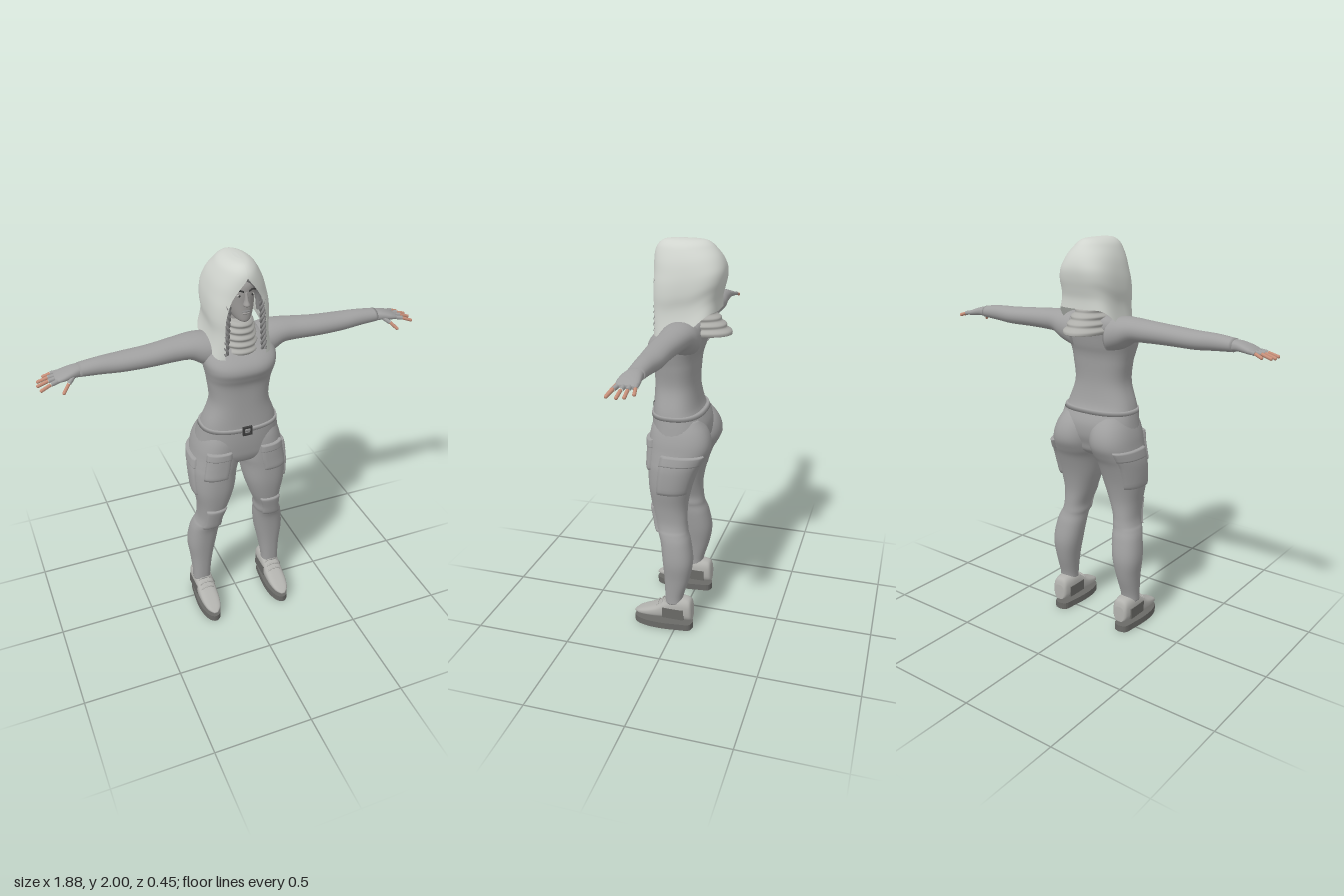
import * as THREE from 'three';

const mat = (name, color, side = THREE.FrontSide) => {
  const m = new THREE.MeshStandardMaterial({ color, side });
  m.name = name;
  return m;
};

// Catmull-Rom blend of cross-section rows
function smooth(rows, k = 5) {
  const out = [], n = rows.length - 1;
  for (let i = 0; i < n; i++) for (let s = 0; s < k; s++) {
    const t = s / k, a = rows[Math.max(i - 1, 0)], b = rows[i], c = rows[i + 1], d = rows[Math.min(i + 2, n)];
    out.push(b.map((_, j) => 0.5 * (2 * b[j] + (c[j] - a[j]) * t + (2 * a[j] - 5 * b[j] + 4 * c[j] - d[j]) * t * t
      + (3 * b[j] - a[j] - 3 * c[j] + d[j]) * t * t * t)));
  }
  out.push(rows[n]);
  return out;
}

// Point on a superellipse section: row = [position on axis, uLow, uHigh, vLow, vHigh]
const bend = (v, e) => Math.sign(v) * Math.abs(v) ** (2 / e);
function sectionPoint(r, a, axis, e, grow = 0) {
  const s = axis === 'y' ? 1 : -1;
  const u = (r[1] + r[2]) / 2 + ((r[2] - r[1]) / 2 + grow) * bend(Math.cos(a), e);
  const v = (r[3] + r[4]) / 2 + s * ((r[4] - r[3]) / 2 + grow) * bend(Math.sin(a), e);
  if (axis === 'y') return new THREE.Vector3(u, r[0], v);
  if (axis === 'x') return new THREE.Vector3(r[0], u, v);
  return new THREE.Vector3(u, v, r[0]);
}

// Skin a list of rings; closed rings get end caps
function skin(rings, closed = true) {
  const n = rings[0].length, m = rings.length, pts = rings.flat(), idx = [];
  for (let j = 0; j < m - 1; j++) for (let i = 0; i < (closed ? n : n - 1); i++) {
    const a = j * n + i, b = j * n + (i + 1) % n;
    idx.push(a, a + n, b, b, a + n, b + n);
  }
  if (closed) [0, m - 1].forEach((j) => {
    const c = rings[j].reduce((s, p) => s.add(p), new THREE.Vector3()).divideScalar(n);
    pts.push(c);
    for (let i = 0; i < n; i++) {
      const a = j * n + i, b = j * n + (i + 1) % n;
      idx.push(pts.length - 1, ...(j ? [b, a] : [a, b]));
    }
  });
  const g = new THREE.BufferGeometry().setFromPoints(pts);
  g.setIndex(idx);
  g.computeVertexNormals();
  return g;
}

const loft = (rows, axis = 'y', e = 2.2, n = 36, k = 5) => skin(smooth(rows, k).map((r) =>
  Array.from({ length: n }, (_, i) => sectionPoint(r, (i / n) * Math.PI * 2, axis, e))));

function mirrored(geo) {
  const g = geo.clone().scale(-1, 1, 1);
  const ix = g.index ? Array.from(g.index.array) : Array.from({ length: g.attributes.position.count }, (_, i) => i);
  for (let i = 0; i < ix.length; i += 3) [ix[i], ix[i + 1]] = [ix[i + 1], ix[i]];
  g.setIndex(ix);
  return g;
}

const tube = (pts, r, seg = 16) =>
  new THREE.TubeGeometry(new THREE.CatmullRomCurve3(pts.map((p) => new THREE.Vector3(...p))), seg, r, 8);
const ball = (x, y, z, rx, ry, rz) => new THREE.SphereGeometry(1, 16, 10).scale(rx, ry, rz).translate(x, y, z);

export function createModel() {
  const root = new THREE.Group();
  const cloth = mat('cloth grey', 0xa0a0a0);
  const hoodMat = mat('hood pale grey', 0xd0d4ce, THREE.DoubleSide);
  const scarfMat = mat('scarf grey', 0xaeaeaa);
  const faceMat = mat('face grey', 0x9c9a98);
  const hairMat = mat('hair grey', 0x868686);
  const skinMat = mat('fingertip skin', 0xc8907a);
  const shoeMat = mat('shoe grey', 0xb2b2ae);
  const soleMat = mat('sole dark grey', 0x6a6a67);
  const dark = mat('dark trim', 0x3c3c3c);
  const add = (name, g, m) => {
    const o = new THREE.Mesh(g, m);
    o.name = name;
    root.add(o);
  };
  const pair = (name, g, m) => {
    add('left ' + name, g, m);
    add('right ' + name, mirrored(g), m);
  };

  // Torso and pelvis: [y, half width, back, front]
  const sym = (rows) => rows.map(([y, w, b, f]) => [y, -w, w, b, f]);
  add('torso', loft(sym([[1.15, 0.194, -0.1, 0.157], [1.2, 0.18, -0.075, 0.153], [1.3, 0.146, -0.06, 0.15],
    [1.4, 0.154, -0.065, 0.153], [1.45, 0.163, -0.072, 0.17], [1.49, 0.172, -0.085, 0.183], [1.53, 0.178, -0.095, 0.168],
    [1.58, 0.17, -0.105, 0.115], [1.62, 0.14, -0.1, 0.075], [1.65, 0.08, -0.08, 0.04]]), 'y', 2.5, 44), cloth);
  add('pelvis', loft(sym([[0.93, 0.05, -0.05, 0.06], [0.96, 0.14, -0.09, 0.125], [1, 0.215, -0.105, 0.148],
    [1.05, 0.216, -0.122, 0.156], [1.11, 0.207, -0.122, 0.16], [1.17, 0.196, -0.098, 0.16]]), 'y', 2.4, 44), cloth);
  add('belt', loft(sym([[1.157, 0.199, -0.104, 0.163], [1.176, 0.195, -0.096, 0.162]]), 'y', 2.45, 44, 1), cloth);
  const frame = new THREE.Shape([[-1, -1], [1, -1], [1, 1], [-1, 1]].map(([x, y]) => new THREE.Vector2(x * 0.024, y * 0.023)));
  frame.holes.push(new THREE.Path([[-1, -1], [-1, 1], [1, 1], [1, -1]].map(([x, y]) => new THREE.Vector2(x * 0.016, y * 0.015))));
  add('belt buckle', new THREE.ExtrudeGeometry(frame, { depth: 0.012, bevelEnabled: false }).translate(0, 1.165, 0.159), dark);

  // Legs: [y, inner x, outer x, back, front]
  const legRows = [[0.155, 0.157, 0.25, -0.035, 0.055], [0.2, 0.155, 0.25, -0.04, 0.057], [0.3, 0.14, 0.257, -0.07, 0.062],
    [0.4, 0.12, 0.268, -0.085, 0.071], [0.5, 0.106, 0.257, -0.07, 0.084], [0.55, 0.103, 0.242, -0.055, 0.1],
    [0.575, 0.098, 0.23, -0.05, 0.11], [0.62, 0.095, 0.222, -0.045, 0.12], [0.7, 0.065, 0.226, -0.045, 0.138],
    [0.8, 0.033, 0.243, -0.065, 0.153], [0.9, 0.017, 0.247, -0.1, 0.156], [0.95, 0.003, 0.242, -0.127, 0.156],
    [1, -0.002, 0.233, -0.15, 0.156], [1.05, -0.002, 0.223, -0.15, 0.155], [1.1, 0.005, 0.206, -0.13, 0.148],
    [1.15, 0.03, 0.18, -0.09, 0.13]];
  pair('trouser leg', loft(legRows, 'y', 2.3, 40), cloth);

  // Pockets and knee pads follow the leg surface
  const dense = smooth(legRows, 8);
  const legAt = (y) => {
    const i = Math.max(1, dense.findIndex((r) => r[0] >= y)), a = dense[i - 1], b = dense[i];
    return a.map((v, j) => v + ((b[j] - v) * (y - a[0])) / (b[0] - a[0]));
  };
  const patch = (deg0, deg1, y0, y1, thick) => {
    const N = 14, rings = [];
    for (let j = 0; j <= N; j++) {
      rings.push(Array.from({ length: N + 1 }, (_, i) => {
        const rim = Math.min(i, j, N - i, N - j);
        const f = (k) => Math.min(1, Math.max(0, (k - 0.7) / (N - 1.4)));
        const a = THREE.MathUtils.degToRad(deg0 + (deg1 - deg0) * f(i));
        return sectionPoint(legAt(y0 + (y1 - y0) * f(j)), a, 'y', 2.3, rim === 0 ? -0.006 : rim === 1 ? thick * 0.8 : thick);
      }));
    }
    return skin(rings, false);
  };
  pair('front pocket', patch(48, 103, 0.895, 1.05, 0.012), cloth);
  pair('front pocket flap', patch(47, 104, 1.01, 1.052, 0.015), cloth);
  pair('side pocket', patch(-60, 20, 0.78, 0.99, 0.013), cloth);
  pair('side pocket flap', patch(-61, 21, 0.94, 0.992, 0.016), cloth);
  pair('knee pad', patch(50, 128, 0.555, 0.69, 0.011), cloth);

  // Shoes, with a separate sole plate below
  pair('shoe', loft([[-0.088, 0.03, 0.058, 0.14], [-0.075, 0.043, 0.055, 0.175], [-0.03, 0.05, 0.055, 0.185],
    [0.02, 0.051, 0.055, 0.182], [0.06, 0.051, 0.055, 0.158], [0.1, 0.051, 0.055, 0.128], [0.15, 0.048, 0.055, 0.104],
    [0.2, 0.035, 0.055, 0.082], [0.228, 0.01, 0.056, 0.064]].map(([z, w, b, t]) => [z, 0.2 - w, 0.2 + w, b, t]), 'z', 2.8, 28), shoeMat);
  pair('shoe side panel', new THREE.BoxGeometry(0.106, 0.058, 0.115).translate(0.2, 0.1, 0.007), soleMat);
  const foot = [[0, -0.09], [0.035, -0.075], [0.045, -0.02], [0.054, 0.07], [0.05, 0.15], [0.03, 0.21], [0, 0.23]];
  const outline = [...foot, ...foot.slice(1, -1).reverse().map(([x, z]) => [-x, z])].map(([x, z]) => new THREE.Vector2(x, -z));
  const soleShape = new THREE.Shape(new THREE.SplineCurve([...outline, outline[0]]).getPoints(48).slice(0, -1));
  pair('sole', new THREE.ExtrudeGeometry(soleShape, { depth: 0.035, bevelEnabled: false }).rotateX(-Math.PI / 2).translate(0.2, 0, 0), soleMat);
  for (let i = 0; i < 3; i++) {
    const z = 0.05 + i * 0.022, y = 0.166 - i * 0.016;
    pair('lace', tube([[0.155, y - 0.03, z], [0.175, y - 0.002, z + 0.003], [0.2, y + 0.004, z + 0.004],
      [0.225, y - 0.002, z + 0.003], [0.245, y - 0.03, z]], 0.004), shoeMat);
  }

  // Arms and gloved hands: [x, bottom, top, back, front]
  pair('sleeve', loft([[0.1, 1.46, 1.635, -0.1, 0.09], [0.17, 1.49, 1.642, -0.102, 0.08], [0.23, 1.525, 1.641, -0.09, 0.068],
    [0.3, 1.53, 1.635, -0.078, 0.062], [0.42, 1.53, 1.625, -0.063, 0.064], [0.55, 1.53, 1.617, -0.06, 0.056],
    [0.65, 1.537, 1.614, -0.047, 0.046], [0.745, 1.543, 1.604, -0.04, 0.04]], 'x', 2.1, 28), cloth);
  pair('glove', loft([[0.735, 1.545, 1.6, -0.036, 0.036], [0.77, 1.55, 1.596, -0.04, 0.046], [0.81, 1.547, 1.585, -0.046, 0.053],
    [0.84, 1.545, 1.573, -0.046, 0.05], [0.855, 1.55, 1.565, -0.038, 0.042]], 'x', 2.5, 24), cloth);
  [[[0.83, 1.562, -0.036], [0.895, 1.545, -0.048]], [[0.835, 1.56, -0.013], [0.925, 1.54, -0.018]],
    [[0.835, 1.56, 0.011], [0.93, 1.537, 0.014]], [[0.835, 1.558, 0.035], [0.923, 1.536, 0.058]],
    [[0.775, 1.565, 0.035], [0.832, 1.518, 0.083]]].forEach(([a, b]) => {
    const mid = a.map((v, i) => v + (b[i] - v) * 0.5 + (i === 1 ? 0.004 : 0));
    pair('glove finger', tube([a, mid], 0.0105, 4), cloth);
    pair('fingertip', tube([mid, b], 0.008, 4), skinMat);
    pair('fingertip end', ball(...b, 0.008, 0.008, 0.008), skinMat);
  });

  // Head and face
  add('head', loft(sym([[1.73, 0.02, 0.06, 0.13], [1.74, 0.038, 0, 0.137], [1.775, 0.058, -0.07, 0.137], [1.82, 0.069, -0.1, 0.136],
    [1.87, 0.073, -0.11, 0.137], [1.91, 0.068, -0.11, 0.13], [1.95, 0.04, -0.08, 0.09]]), 'y', 2.2, 32), faceMat);
  add('neck', new THREE.CylinderGeometry(0.05, 0.055, 0.16, 24).translate(0, 1.69, 0.02), faceMat);
  add('nose', loft([[1.808, -0.012, 0.012, 0.12, 0.146], [1.818, -0.016, 0.016, 0.12, 0.163], [1.84, -0.009, 0.009, 0.12, 0.153],
    [1.875, -0.007, 0.007, 0.12, 0.139]], 'y', 2, 16), faceMat);
  add('upper lip', ball(0, 1.784, 0.136, 0.022, 0.005, 0.007), hairMat);
  add('lower lip', ball(0, 1.775, 0.136, 0.018, 0.005, 0.007), faceMat);
  pair('eye', ball(0.03, 1.858, 0.125, 0.013, 0.006, 0.007), scarfMat);
  pair('pupil', ball(0.03, 1.858, 0.13, 0.005, 0.005, 0.004), dark);
  pair('eyebrow', tube([[0.012, 1.877, 0.135], [0.03, 1.884, 0.132], [0.049, 1.876, 0.119]], 0.004), dark);
  pair('hair lock', tube([[0.004, 1.935, 0.115], [0.04, 1.905, 0.115], [0.068, 1.85, 0.1], [0.078, 1.77, 0.1]], 0.015), hairMat);

  // Braids of crossing strands beside the scarf
  for (let s = 0; s < 3; s++) {
    const pts = Array.from({ length: 15 }, (_, i) => {
      const a = i * 1.3 + (s * Math.PI * 2) / 3;
      return [0.08 + i * 0.001 + 0.009 * Math.cos(a), 1.82 - i * 0.0175, 0.125 + 0.008 * Math.sin(a)];
    });
    pair('braid strand', tube(pts, 0.0065, 48), hairMat);
  }

  // Wrapped scarf with folds, flaring down the back
  const folds = [];
  for (let i = 0; i <= 10; i++) {
    const t = i / 10, puff = i % 2 ? 0.007 : -0.003;
    folds.push([1.56 + 0.16 * t, 0.108 - 0.045 * t + puff, -0.225 + 0.13 * t - puff, 0.135 - 0.02 * t + puff]);
  }
  add('scarf', loft(sym(folds), 'y', 2.2, 40, 4), scarfMat);

  // Hood shell: [y, half width, front, back, opening half width, squareness]
  const hoodRows = smooth([[2, 0.012, 0.05, -0.03, 0, 2], [1.994, 0.045, 0.105, -0.09, 0, 2], [1.975, 0.075, 0.135, -0.12, 0, 2],
    [1.945, 0.096, 0.152, -0.143, 0, 2], [1.9, 0.118, 0.156, -0.168, 0.034, 2.2], [1.85, 0.133, 0.156, -0.185, 0.066, 2.4],
    [1.8, 0.142, 0.157, -0.191, 0.085, 2.7], [1.74, 0.145, 0.157, -0.186, 0.097, 2.9], [1.68, 0.14, 0.156, -0.175, 0.098, 3],
    [1.62, 0.146, 0.154, -0.165, 0.098, 3], [1.555, 0.16, 0.15, -0.165, 0.1, 3]], 4);
  const hoodRings = hoodRows.map(([y, w, f, b, o, e]) => {
    const start = Math.acos(Math.min(1, (Math.max(o, 0) / w) ** (e / 2))), sweep = Math.PI + 2 * start;
    return Array.from({ length: 57 }, (_, i) => {
      const a = start - (sweep * i) / 56, p = sectionPoint([y, -w, w, b, f], a, 'y', e);
      const back = THREE.MathUtils.smoothstep(-Math.sin(a), -0.4, 0.9);
      p.y = 2 - (2 - y) * (1 - 0.28 * back);
      return p;
    });
  });
  add('hood', skin(hoodRings, false), hoodMat);
  const crown = hoodRings[0].map((p) => p.clone());
  add('hood crown', skin([crown.map(() => new THREE.Vector3(0, 2, 0.01)), crown], false), hoodMat);
  return root;
}
